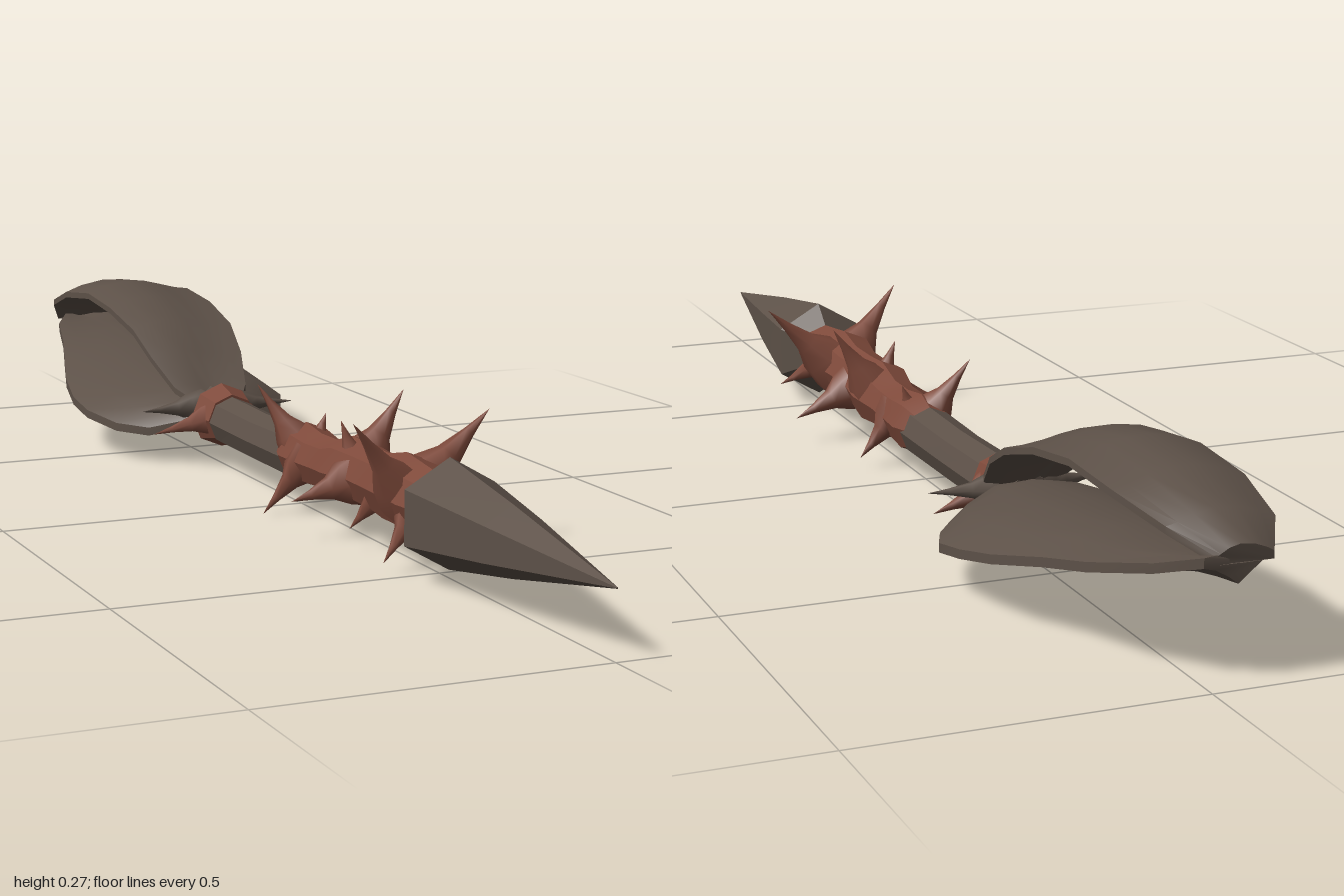
import * as THREE from 'three';
import { toCreasedNormals } from 'three/addons/utils/BufferGeometryUtils.js';

const bark = new THREE.MeshStandardMaterial({ color: 0x5d5148 });
bark.name = 'greyBrownBark';
const rust = new THREE.MeshStandardMaterial({ color: 0x7f4a3b });
rust.name = 'rustThorn';

function add(group, name, geometry, material) {
  const mesh = new THREE.Mesh(geometry, material);
  mesh.name = name;
  group.add(mesh);
  return mesh;
}

// Closed skin over rings of points with equal counts
function loft(rings, crease) {
  const n = rings[0].length, pos = rings.flat(2), idx = [];
  for (let i = 0; i < rings.length - 1; i++) {
    for (let j = 0; j < n; j++) {
      const a = i * n + j, b = i * n + (j + 1) % n;
      idx.push(a, b, a + n, b, b + n, a + n);
    }
  }
  const last = (rings.length - 1) * n;
  for (let j = 1; j < n - 1; j++) {
    idx.push(0, j + 1, j, last, last + j, last + j + 1);
  }
  const g = new THREE.BufferGeometry();
  g.setAttribute('position', new THREE.Float32BufferAttribute(pos, 3));
  g.setIndex(idx);
  return toCreasedNormals(g, crease);
}

// Round stem through sections [z, centre y, radius], listed from back to front
function stem(sections, sides) {
  return loft(sections.map(([z, y, r]) => Array.from({ length: sides }, (_, j) => {
    const a = (j / sides) * Math.PI * 2 + Math.PI / 2;
    return [Math.cos(a) * r, y + Math.sin(a) * r, z];
  })), 0.7);
}

// Thin leaf through sections [z, left x, right x, centre y, edge droop]
function leaf(sections, thickness, seed) {
  const wobble = (i, j) => Math.sin(i * 12.9 + j * 7.3 + seed) * 0.006;
  const across = [-1, -0.72, -0.35, 0, 0.35, 0.72, 1];
  return loft(sections.map(([z, x0, x1, y, droop], i) => {
    const line = across.map((u, j) => {
      const x = (x0 + x1) / 2 + u * (x1 - x0) / 2;
      return [x + wobble(i, j), y - droop * u * u + wobble(i + 3, j), z + wobble(j, i)];
    });
    const under = line.map(([x, y, z], j) => [x, y - thickness * (1 - 0.6 * Math.abs(across[j])), z]);
    return [...under, ...line.reverse()];
  }), 0.6);
}

// Concave thorn running from one point to a tip
function thorn(from, to, radius, sides = 6) {
  const a = new THREE.Vector3(...from), d = new THREE.Vector3(...to).sub(a);
  const h = d.length();
  const profile = [[1, 0], [0.8, 0.25], [0.42, 0.45], [0.18, 0.72], [0, 1]];
  const g = new THREE.LatheGeometry(profile.map(([r, t]) => new THREE.Vector2(r * radius, t * h)), sides);
  g.applyQuaternion(new THREE.Quaternion().setFromUnitVectors(new THREE.Vector3(0, 1, 0), d.normalize()));
  return g.translate(a.x, a.y, a.z);
}

export function createModel() {
  const model = new THREE.Group();
  model.name = 'thornSpear';

  // Six-sided point with a flared shoulder
  add(model, 'spearPoint', stem([
    [0.49, 0.1, 0.045], [0.53, 0.097, 0.082], [0.72, 0.098, 0.052], [1, 0.1, 0.001],
  ], 6), bark);

  // Plain shaft and the knobbly thorn-covered grip
  add(model, 'shaft', stem([
    [-0.42, 0.1, 0.03], [-0.3, 0.085, 0.042], [-0.15, 0.083, 0.041], [0.02, 0.085, 0.043],
  ], 8), bark);
  add(model, 'thornGrip', stem([
    [-0.02, 0.09, 0.036], [0.02, 0.09, 0.05], [0.08, 0.088, 0.044], [0.14, 0.09, 0.043],
    [0.2, 0.096, 0.054], [0.26, 0.1, 0.047], [0.33, 0.1, 0.047], [0.39, 0.104, 0.056],
    [0.46, 0.1, 0.052], [0.51, 0.1, 0.046],
  ], 8), rust);

  // Thorn tips around the grip
  const thorns = new THREE.Group();
  thorns.name = 'thorns';
  model.add(thorns);
  [
    [-0.115, 0.222, 0.45, 0.045], [0.143, 0.212, 0.375, 0.05], [0.09, 0.215, 0.19, 0.045],
    [-0.07, 0.2, -0.015, 0.036], [-0.12, 0.065, 0.24, 0.045], [0.13, 0.047, 0.27, 0.042],
    [-0.088, 0.003, 0.05, 0.038], [0.08, 0.022, 0.09, 0.038], [-0.08, 0.02, 0.48, 0.035],
    [0.088, 0.05, 0.485, 0.035], [-0.03, 0.18, 0.22, 0.035], [-0.06, 0.035, 0.32, 0.035],
    [0.03, 0.155, 0.03, 0.03],
  ].forEach(([x, y, z, r]) => {
    const zBase = z + (z > 0.42 ? -0.03 : z < 0 ? 0.035 : 0.01);
    add(thorns, 'thorn', thorn([x * 0.1, 0.095, zBase], [x, y, z], r), rust);
  });

  // Collar of small sepals where the leaves meet the shaft
  add(model, 'collar', stem([[-0.39, 0.09, 0.03], [-0.35, 0.088, 0.055], [-0.3, 0.088, 0.043]], 8), rust);
  for (const side of [-1, 1]) {
    add(model, 'rustSepal', thorn([side * 0.01, 0.09, -0.33], [side * 0.125, 0.062, -0.35], 0.034), rust);
    add(model, 'barkSepal', thorn([side * 0.02, 0.1, -0.38], [side * 0.14, 0.1, -0.365], 0.03), bark);
    add(model, 'lowerSepal', thorn([side * 0.01, 0.09, -0.37], [side * 0.08, 0.052, -0.4], 0.03), bark);
  }

  // Broad lower leaf, rising toward the back with drooping edges
  add(model, 'lowerLeaf', leaf([
    [-0.995, -0.075, 0.01, 0.183, 0.005], [-0.95, -0.105, 0.06, 0.18, 0.014],
    [-0.86, -0.125, 0.11, 0.172, 0.025], [-0.77, -0.15, 0.13, 0.163, 0.035],
    [-0.68, -0.175, 0.165, 0.153, 0.045], [-0.6, -0.188, 0.178, 0.143, 0.05],
    [-0.53, -0.186, 0.184, 0.134, 0.05], [-0.45, -0.158, 0.155, 0.124, 0.05],
    [-0.395, -0.115, 0.12, 0.112, 0.04], [-0.35, -0.04, 0.04, 0.1, 0.01],
  ], 0.035, 1), bark);

  // Narrower upper leaf arching over the lower one
  add(model, 'upperLeaf', leaf([
    [-0.99, -0.08, 0, 0.192, 0.004], [-0.95, -0.1, 0.05, 0.228, 0.008],
    [-0.86, -0.105, 0.085, 0.258, 0.012], [-0.75, -0.1, 0.095, 0.27, 0.014],
    [-0.64, -0.098, 0.1, 0.256, 0.014], [-0.54, -0.09, 0.1, 0.227, 0.014],
    [-0.46, -0.085, 0.085, 0.185, 0.012], [-0.4, -0.065, 0.065, 0.135, 0.01],
    [-0.35, -0.03, 0.03, 0.1, 0.005],
  ], 0.026, 4), bark);

  return model;
}
